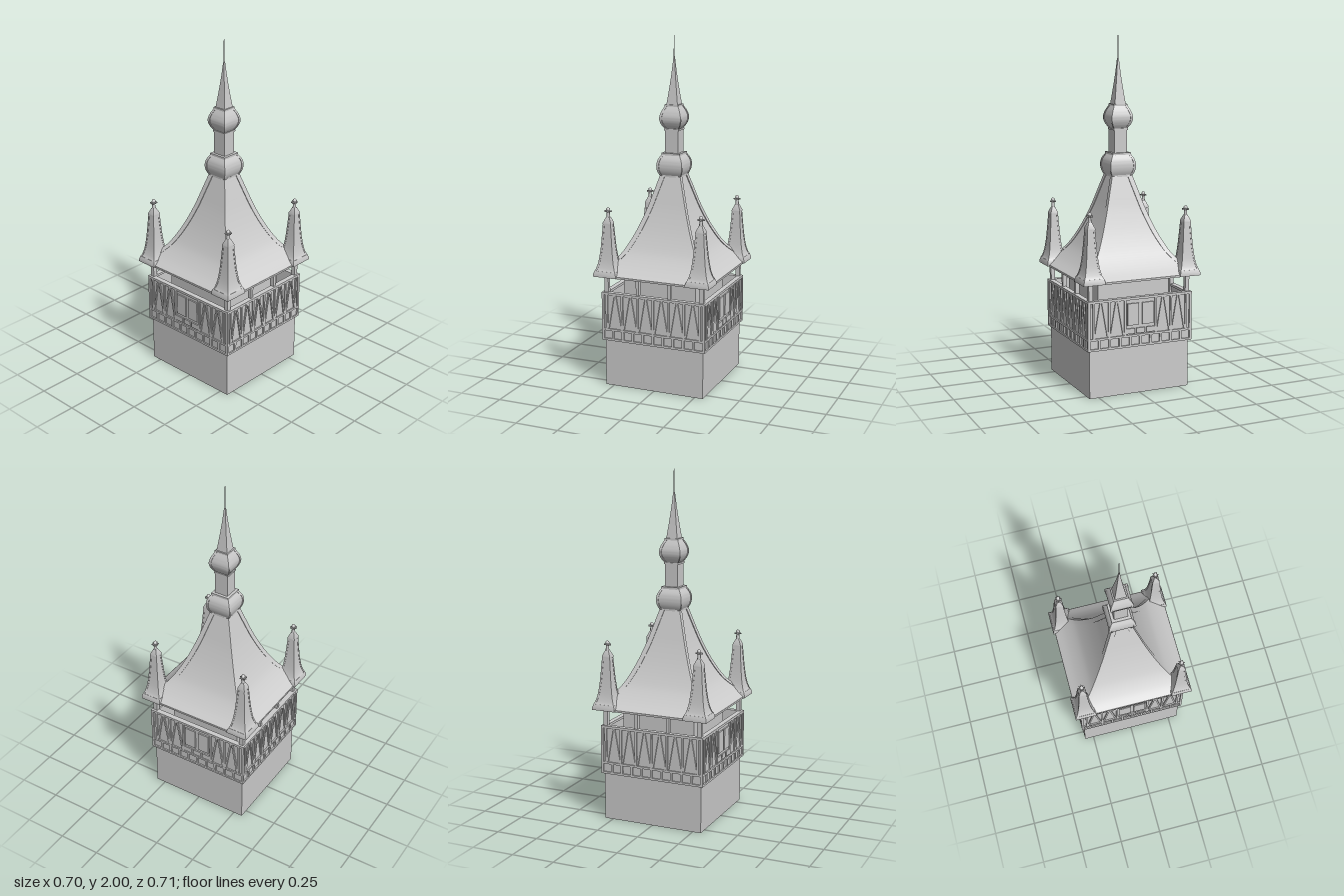
import * as THREE from 'three';
import { toCreasedNormals } from 'three/addons/utils/BufferGeometryUtils.js';

const grey = new THREE.MeshStandardMaterial({ color: 0xcccccc });
const greyDouble = new THREE.MeshStandardMaterial({ color: 0xcccccc, side: THREE.DoubleSide });

function add(parent, name, geometry, material = grey) {
  const mesh = new THREE.Mesh(geometry, material);
  mesh.name = name;
  parent.add(mesh);
  return mesh;
}

function box(parent, name, w, h, d, x, y, z) {
  const mesh = add(parent, name, new THREE.BoxGeometry(w, h, d));
  mesh.position.set(x, y, z);
  return mesh;
}

// Smooth a short list of [half width, y] pairs
const smooth = (pairs, n) => new THREE.SplineCurve(pairs.map(([h, y]) => new THREE.Vector2(h, y))).getPoints(n);
const points = (pairs) => pairs.map(([h, y]) => new THREE.Vector2(h, y));

// Square-plan loft closed at both ends; profile holds half widths from bottom to top
function squareLoft(profile, sides = 4) {
  const k = 1 / Math.cos(Math.PI / sides);
  const first = profile[0], last = profile[profile.length - 1];
  const pts = [new THREE.Vector2(0, first.y), ...profile.map((p) => new THREE.Vector2(p.x * k, p.y)), new THREE.Vector2(0, last.y)];
  return toCreasedNormals(new THREE.LatheGeometry(pts, sides, Math.PI / sides), 0.5);
}

// Raised angle strip that follows one corner of a square loft
function hipStrip(profile, width, raise) {
  const pos = [], index = [];
  profile.forEach(({ x: h, y }) => {
    const o = h + raise, i = h - 0.004, s = o - Math.min(width, h * 0.6);
    [[i, s], [o, s], [o, o], [s, o], [s, i]].forEach(([x, z]) => pos.push(x, y, z));
  });
  for (let r = 0; r < profile.length - 1; r++) {
    for (let j = 0; j < 4; j++) {
      const a = r * 5 + j, d = a + 5;
      index.push(a, d, a + 1, a + 1, d, d + 1);
    }
  }
  const g = new THREE.BufferGeometry();
  g.setAttribute('position', new THREE.Float32BufferAttribute(pos, 3));
  g.setIndex(index);
  return toCreasedNormals(g, 0.5);
}

function addHips(parent, name, profile, width, raise) {
  const g = hipStrip(profile, width, raise);
  for (let i = 0; i < 4; i++) add(parent, name, g, greyDouble).rotation.y = i * Math.PI / 2;
}

// One timber-framed parapet side facing +z, its outer face at z = 0
function parapetSide(length, hasPanel) {
  const side = new THREE.Group();
  side.name = 'parapetSide';
  const bar = (name, w, h, x, y) => box(side, name, w, h, 0.012, x, y, -0.006);
  box(side, 'parapetBacking', length - 0.02, 0.27, 0.016, 0, 0.415, -0.016);
  box(side, 'handrail', length, 0.014, 0.03, 0, 0.553, -0.015);
  bar('bottomRail', length, 0.012, 0, 0.281);
  bar('middleRail', length, 0.012, 0, 0.34);
  // Row of small square fields
  for (let i = 0; i <= 10; i++) {
    bar('shortStud', 0.013, 0.055, (i / 10 - 0.5) * (length - 0.013), 0.311);
  }
  // Tall bays with slanted braces
  const pitch = 0.095;
  for (let i = -3; i <= 3; i++) {
    if (hasPanel && i === 0) continue;
    bar('stud', 0.012, 0.21, i * pitch, 0.447);
  }
  for (const s of [-1, 1]) bar('endStud', 0.014, 0.21, s * (length / 2 - 0.007), 0.447);
  for (let i = -3; i < 3; i++) {
    if (hasPanel && (i === -1 || i === 0)) continue;
    for (const s of [-1, 1]) {
      const brace = box(side, 'brace', 0.01, 0.2, 0.01, (i + 0.5) * pitch + s * 0.022, 0.447, -0.006);
      brace.rotation.z = s * 0.17;
    }
  }
  // Paired square panels above three small fields
  if (hasPanel) {
    for (const s of [-1, 1]) box(side, 'squarePanel', 0.07, 0.125, 0.01, s * 0.045, 0.463, -0.005);
    for (const i of [-1, 0, 1]) box(side, 'smallPanel', 0.052, 0.03, 0.01, i * 0.063, 0.367, -0.005);
  }
  return side;
}

function pinnacle() {
  const g = new THREE.Group();
  g.name = 'cornerPinnacle';
  const body = smooth([[0.063, 0.688], [0.054, 0.705], [0.043, 0.745], [0.034, 0.81], [0.028, 0.88], [0.022, 0.96]], 16);
  add(g, 'pinnacleEave', squareLoft(points([[0.07, 0.657], [0.07, 0.672], [0.063, 0.69]])));
  add(g, 'pinnacleRoof', squareLoft(body));
  addHips(g, 'pinnacleHip', body, 0.01, 0.002);
  add(g, 'pinnacleCap', squareLoft(points([[0.025, 0.955], [0.025, 0.965], [0.01, 0.998]])));
  // Finial: stem, eight-pointed star and ball
  const stem = add(g, 'finialStem', new THREE.CylinderGeometry(0.008, 0.011, 0.05, 10));
  stem.position.y = 1.015;
  const star = new THREE.Shape();
  for (let i = 0; i < 16; i++) {
    const r = i % 2 ? 0.012 : 0.022, a = i * Math.PI / 8;
    star[i ? 'lineTo' : 'moveTo'](r * Math.cos(a), r * Math.sin(a));
  }
  const starMesh = add(g, 'finialStar', new THREE.ExtrudeGeometry(star, { depth: 0.007, bevelEnabled: false }));
  starMesh.rotation.x = -Math.PI / 2;
  starMesh.position.y = 1.027;
  add(g, 'finialBall', new THREE.SphereGeometry(0.012, 12, 8)).position.y = 1.04;
  return g;
}

export function createModel() {
  const model = new THREE.Group();
  model.name = 'bellTower';

  // Hollow shaft, open below, closed by the gallery floor
  const shaft = new THREE.CylinderGeometry(0.3 * Math.SQRT2, 0.3 * Math.SQRT2, 0.275, 4, 1, true, Math.PI / 4);
  const shaftMesh = add(model, 'shaft', toCreasedNormals(shaft, 0.5), greyDouble);
  shaftMesh.position.y = 0.1375;
  shaftMesh.scale.z = 1.017;
  box(model, 'galleryFloor', 0.62, 0.012, 0.63, 0, 0.281, 0);

  // Gallery parapet
  for (let i = 0; i < 4; i++) {
    const sideways = i % 2 === 1;
    const side = parapetSide(sideways ? 0.64 : 0.63, sideways);
    const a = i * Math.PI / 2, d = sideways ? 0.315 : 0.32;
    side.rotation.y = a;
    side.position.set(Math.sin(a) * d, 0, Math.cos(a) * d);
    model.add(side);
  }

  // Inner chamber and posts
  box(model, 'chamber', 0.44, 0.38, 0.44, 0, 0.47, 0);
  for (const z of [-0.297, 0.297]) {
    for (const x of [-0.29, -0.097, 0.097, 0.29]) {
      box(model, 'post', Math.abs(x) > 0.2 ? 0.025 : 0.018, 0.38, 0.025, x, 0.47, z);
    }
  }

  // Bell-cast main roof with raised hips
  const roof = smooth([[0.342, 0.665], [0.29, 0.705], [0.24, 0.757], [0.204, 0.81], [0.16, 0.9],
    [0.118, 1.01], [0.087, 1.11], [0.057, 1.21]], 28);
  add(model, 'roofEave', squareLoft(points([[0.342, 0.655], [0.342, 0.666]]))).scale.z = 1.012;
  add(model, 'mainRoof', squareLoft(roof)).scale.z = 1.012;
  addHips(model, 'roofHip', roof, 0.03, 0.005);

  // Two bulbs joined by a square neck
  const bulbs = {
    lowerBulb: [[0.058, 1.205], [0.071, 1.235], [0.075, 1.268], [0.069, 1.3], [0.052, 1.33]],
    upperBulb: [[0.037, 1.475], [0.055, 1.505], [0.062, 1.538], [0.054, 1.572], [0.037, 1.606]],
  };
  for (const [name, pairs] of Object.entries(bulbs)) {
    const p = smooth(pairs, 18);
    add(model, name, squareLoft(p));
    addHips(model, name + 'Hip', p, 0.014, 0.003);
  }
  for (const [name, h, y, t] of [['lowerCollar', 0.062, 1.208, 0.01], ['neckFoot', 0.056, 1.333, 0.012],
    ['neckHead', 0.044, 1.472, 0.01], ['spireCollar', 0.041, 1.609, 0.01]]) {
    box(model, name, h * 2, t, h * 2, 0, y, 0);
  }
  box(model, 'neck', 0.08, 0.15, 0.08, 0, 1.4, 0);

  // Spire and needle
  add(model, 'spire', squareLoft(smooth([[0.034, 1.61], [0.022, 1.7], [0.0115, 1.79], [0.004, 1.87]], 12)));
  add(model, 'needle', new THREE.CylinderGeometry(0.002, 0.0035, 0.14, 8)).position.y = 1.93;

  // Corner pinnacles
  for (const x of [-0.28, 0.28]) {
    for (const z of [-0.293, 0.293]) {
      const p = pinnacle();
      p.position.set(x, 0, z);
      p.scale.z = 0.9;
      model.add(p);
    }
  }
  return model;
}
